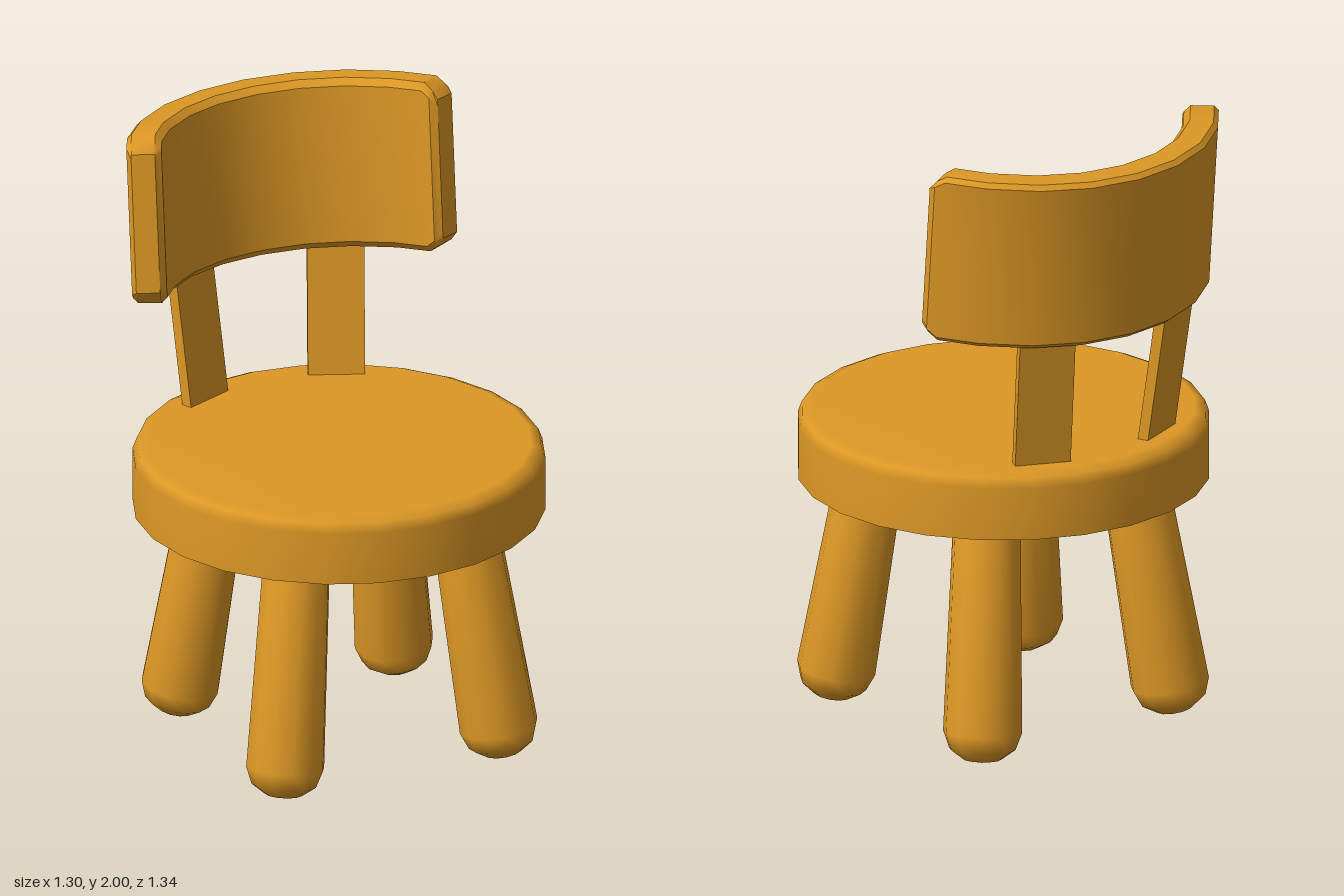
import * as THREE from 'three';
import { toCreasedNormals } from 'three/addons/utils/BufferGeometryUtils.js';

const lathe = (points, sides) =>
  new THREE.LatheGeometry(points.map(([x, y]) => new THREE.Vector2(x, y)), sides);

// Curved panel: a bevelled cross-section swept around an arc, lower at the ends for rounded corners
function backrestGeometry() {
  // angle in degrees, half height, amount the section narrows
  const end = [[45, 0.28, 0], [57, 0.28, 0], [60, 0.258, 0], [62, 0.23, 1]];
  const columns = [
    ...end.map(([a, h, n]) => [-a, h, n]).reverse(),
    ...[-30, -15, 0, 15, 30].map((a) => [a, 0.28, 0]),
    ...end,
  ];
  const positions = [];
  for (const [deg, h, n] of columns) {
    const a = THREE.MathUtils.degToRad(deg);
    const inner = 0.54 + 0.02 * n, outer = 0.65 - 0.015 * n;
    const ring = [
      [0.56, -h], [inner, -h + 0.022], [inner, h - 0.022], [0.56, h],
      [0.635, h], [outer, h - 0.015], [outer, -h + 0.015], [0.635, -h],
    ];
    for (const [r, y] of ring) positions.push(r * Math.sin(a), y, -r * Math.cos(a));
  }
  const index = [];
  const last = (columns.length - 1) * 8;
  for (let i = 0; i < last; i += 8) {
    for (let j = 0; j < 8; j++) {
      const k = (j + 1) % 8;
      index.push(i + j, i + 8 + j, i + k, i + 8 + j, i + 8 + k, i + k);
    }
  }
  for (let k = 1; k < 7; k++) {
    index.push(0, k, k + 1, last, last + k + 1, last + k);
  }
  const geometry = new THREE.BufferGeometry();
  geometry.setAttribute('position', new THREE.Float32BufferAttribute(positions, 3));
  geometry.setIndex(index);
  return toCreasedNormals(geometry, 0.6);
}

export function createModel() {
  const model = new THREE.Group();
  model.name = 'chair';
  const wood = new THREE.MeshStandardMaterial({ color: 0xdd9825 });
  wood.name = 'honey wood';

  const add = (name, geometry, parent = model) => {
    const mesh = new THREE.Mesh(geometry, wood);
    mesh.name = name;
    parent.add(mesh);
    return mesh;
  };

  // Round seat with a softened top rim and a sharp lower edge
  const seat = add('seat', lathe([
    [0, 0.785], [0.65, 0.785], [0.65, 0.785], [0.65, 0.955],
    [0.638, 0.987], [0.605, 1.002], [0, 1.005],
  ], 24));
  seat.position.z = 0.022;

  // Four splayed legs with domed feet
  const legGeometry = lathe([
    [0, 0], [0.06, 0.012], [0.105, 0.045], [0.125, 0.1], [0.104, 0.88], [0, 0.88],
  ], 12);
  const legs = new THREE.Group();
  legs.name = 'legs';
  legs.position.set(0, 0.002, 0.025);
  model.add(legs);
  const legNames = ['backLeftLeg', 'backRightLeg', 'frontRightLeg', 'frontLeftLeg'];
  legNames.forEach((name, i) => {
    const pivot = new THREE.Group();
    pivot.rotation.y = Math.PI / 4 + (i * Math.PI) / 2;
    legs.add(pivot);
    const leg = add(name, legGeometry, pivot);
    leg.position.x = 0.544;
    leg.rotation.z = 0.165;
  });

  // Two flat posts leaning outward from the seat to the backrest
  const postGeometry = new THREE.BoxGeometry(0.18, 0.6, 0.036).translate(0, 0.25, 0);
  for (const side of [1, -1]) {
    const post = add(side > 0 ? 'leftPost' : 'rightPost', postGeometry);
    post.position.set(side * 0.229, 1, -0.464);
    post.rotation.set(-0.145, side * -0.41, 0, 'YXZ');
  }

  // Curved backrest, tilted slightly backward
  const backrest = add('backrest', backrestGeometry());
  backrest.position.set(0, 1.745, -0.002);
  backrest.rotation.x = -0.085;

  return model;
}
